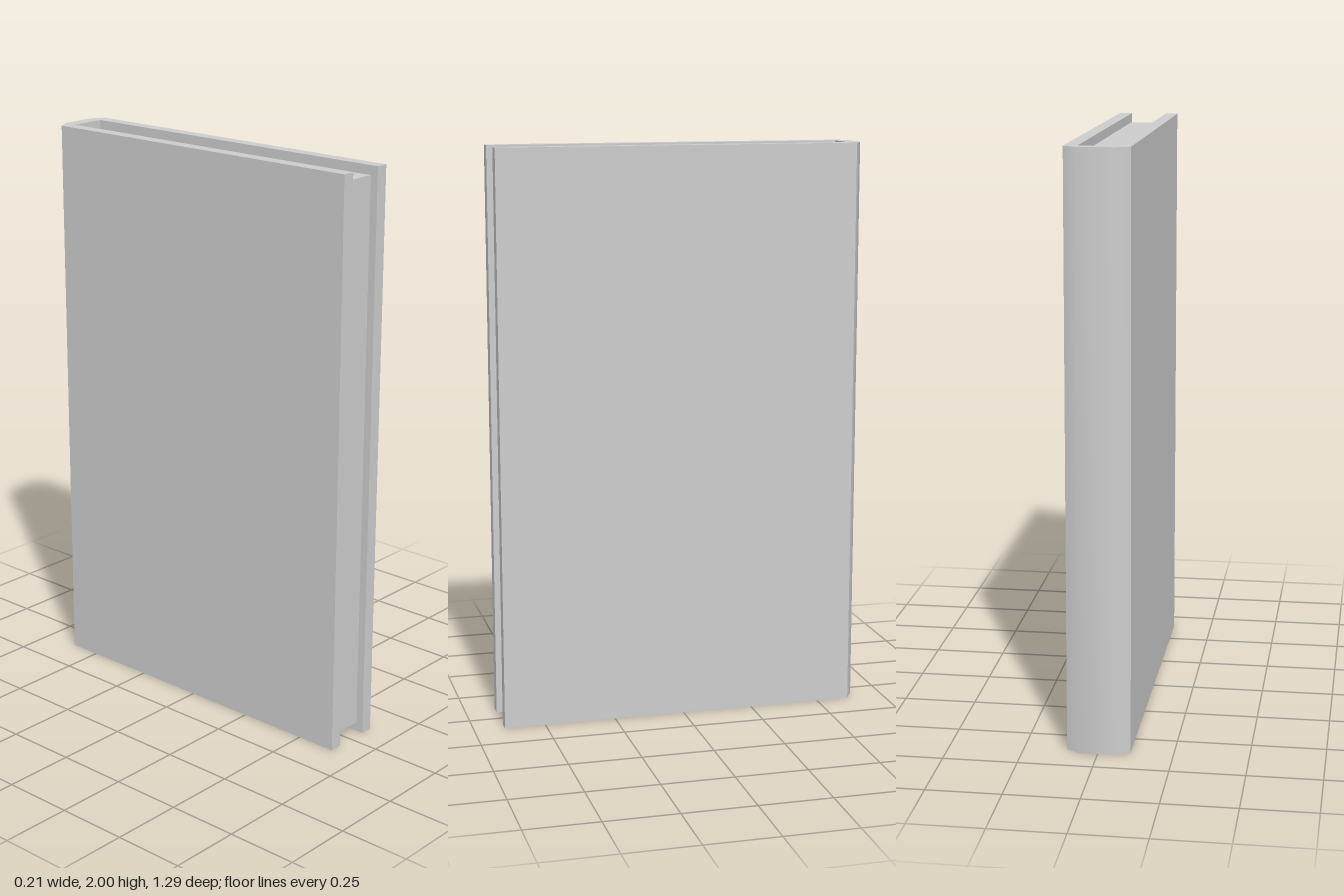
import * as THREE from 'three';
import { toCreasedNormals } from 'three/addons/utils/BufferGeometryUtils.js';

const HEIGHT = 2;
const HALF_W = 0.107;   // outside of the boards
const INNER_W = 0.063;  // inside of the boards
const FRONT = 0.643;
const BACK = -0.643;
const INNER_BACK = -0.595;

export function createModel() {
  const book = new THREE.Group();
  book.name = 'book';
  const grey = new THREE.MeshStandardMaterial({ color: 0xcccccc });
  grey.name = 'plain grey';

  // Cover: two boards and a bevelled spine, one U-shaped outline (x, z) raised upwards
  const half = [
    [INNER_W, BACK], [HALF_W, -0.616], [HALF_W, FRONT],
    [INNER_W, FRONT], [INNER_W, INNER_BACK],
  ];
  const outline = [...half, ...half.map(([x, z]) => [-x, z]).reverse()];
  const shape = new THREE.Shape(outline.map(([x, z]) => new THREE.Vector2(x, -z)));
  let coverGeometry = new THREE.ExtrudeGeometry(shape, { depth: HEIGHT, bevelEnabled: false });
  coverGeometry.rotateX(-Math.PI / 2);
  // The spine facets blend smoothly, the other edges stay sharp
  coverGeometry = toCreasedNormals(coverGeometry, Math.PI / 4);
  const cover = new THREE.Mesh(coverGeometry, grey);
  cover.name = 'cover';
  book.add(cover);

  // Page block, set back from the cover edges
  const pagesFront = 0.616;
  const inset = 0.032;
  const pages = new THREE.Mesh(
    new THREE.BoxGeometry(INNER_W * 2, HEIGHT - inset * 2, pagesFront - INNER_BACK), grey);
  pages.position.set(0, HEIGHT / 2, (pagesFront + INNER_BACK) / 2);
  pages.name = 'pages';
  book.add(pages);

  return book;
}
